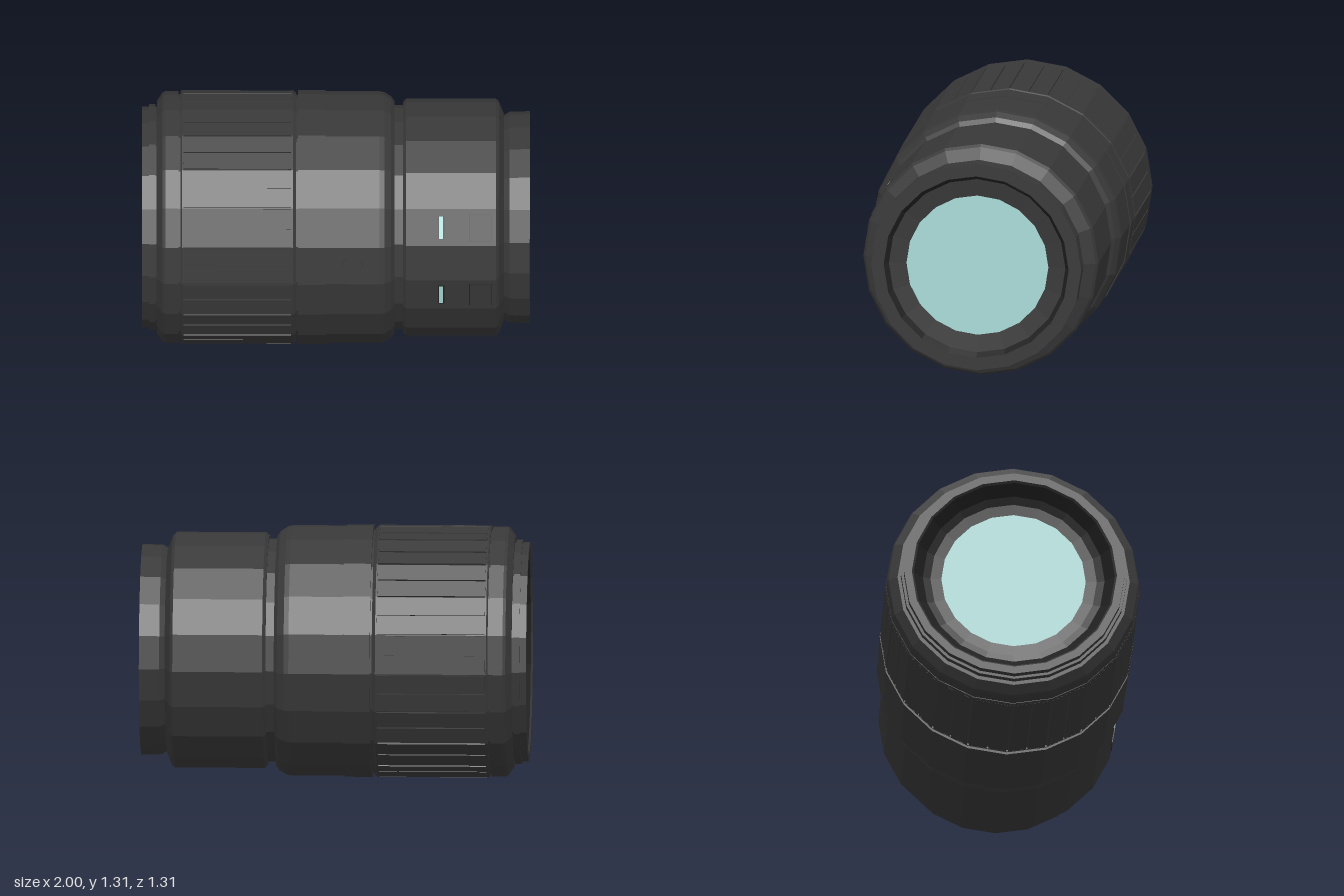
import * as THREE from 'three';

const SIDES = 20;
const STEP = (Math.PI * 2) / SIDES;
const AXIS_Y = 0.66;

const materials = {
  body: new THREE.MeshStandardMaterial({ color: 0x383838 }),
  trim: new THREE.MeshStandardMaterial({ color: 0x222222 }),
  glass: new THREE.MeshStandardMaterial({ color: 0xa9dcd8 }),
};
for (const [name, m] of Object.entries(materials)) m.name = name;

// Faceted ring turned around the x axis; points are [x, radius] from left to right.
function turned(name, points, material) {
  const profile = points.map(([x, r]) => new THREE.Vector2(r, x));
  const geo = new THREE.LatheGeometry(profile, SIDES).rotateZ(-Math.PI / 2).toNonIndexed();
  geo.computeVertexNormals();
  const mesh = new THREE.Mesh(geo, material);
  mesh.name = name;
  return mesh;
}

// Group turned about the lens axis so its +z points out of the facet at this angle.
function facet(name, angle, ...meshes) {
  const g = new THREE.Group();
  g.name = name;
  g.rotation.x = -angle;
  g.add(...meshes);
  return g;
}

function plate(name, w, h, d, x, y, z, material) {
  const mesh = new THREE.Mesh(new THREE.BoxGeometry(w, h, d), material);
  mesh.name = name;
  mesh.position.set(x, y, z);
  return mesh;
}

export function createModel() {
  const { body, trim, glass } = materials;
  const model = new THREE.Group();
  model.name = 'cameraLens';
  const lens = new THREE.Group();
  lens.name = 'barrel';
  lens.position.y = AXIS_Y;
  model.add(lens);

  // Barrel sections, left end to right end
  lens.add(
    turned('leftRecess', [[-0.91, 0.37], [-0.915, 0.43], [-0.93, 0.47], [-0.99, 0.52]], trim),
    turned('leftRim', [[-0.99, 0.52], [-1, 0.53], [-1, 0.57], [-0.965, 0.57], [-0.965, 0.584],
      [-0.932, 0.584], [-0.932, 0.57], [-0.925, 0.57]], body),
    turned('leftCollar', [[-0.925, 0.57], [-0.925, 0.6], [-0.895, 0.645], [-0.88, 0.651], [-0.812, 0.651],
      [-0.812, 0.635], [-0.803, 0.635]], body),
    turned('grip', [[-0.803, 0.635], [-0.803, 0.65], [-0.795, 0.656], [-0.788, 0.656], [-0.788, 0.646],
      [-0.23, 0.646], [-0.23, 0.656], [-0.222, 0.656], [-0.205, 0.642], [-0.205, 0.63], [-0.195, 0.63]], body),
    turned('middleBarrel', [[-0.195, 0.63], [-0.195, 0.656], [-0.055, 0.656], [-0.055, 0.651], [0.225, 0.651],
      [0.25, 0.646], [0.285, 0.624], [0.302, 0.6], [0.302, 0.58]], body),
    turned('neck', [[0.302, 0.58], [0.345, 0.58]], body),
    turned('frontBarrel', [[0.345, 0.58], [0.345, 0.597], [0.362, 0.613], [0.825, 0.613], [0.84, 0.6],
      [0.868, 0.53]], body),
    turned('rightRim', [[0.868, 0.53], [0.895, 0.545], [1, 0.548], [1, 0.482]], body),
    turned('rightRecess', [[1, 0.482], [0.965, 0.46]], trim),
    turned('glassRetainer', [[0.965, 0.46], [0.955, 0.37], [0.95, 0.37]], body),
  );

  // Glass discs at both ends
  for (const [name, x, dir] of [['rightGlass', 0.952, 1], ['leftGlass', -0.912, -1]]) {
    const disc = new THREE.Mesh(new THREE.CircleGeometry(0.373, SIDES), glass);
    disc.name = name;
    disc.position.x = x;
    disc.rotation.y = (dir * Math.PI) / 2;
    lens.add(disc);
  }

  // Two raised grip ribs on every facet
  const gripApothem = 0.656 * Math.cos(STEP / 2);
  for (let i = 0; i < SIDES; i++) {
    lens.add(facet('gripRibs', (i + 0.5) * STEP,
      ...[-1, 1].map((s) => plate('gripRib', 0.556, 0.092, 0.016, -0.509, s * 0.0505, gripApothem - 0.008, body))));
  }

  // Round release button
  const button = new THREE.Mesh(new THREE.CylinderGeometry(0.054, 0.056, 0.02, 16).rotateX(Math.PI / 2), body);
  button.name = 'button';
  button.position.set(0.085, 0, 0.651 * Math.cos(STEP / 2));
  lens.add(facet('buttonMount', STEP / 2, button));

  // Two switches with a pale marker beside each
  const frontApothem = 0.613 * Math.cos(STEP / 2);
  for (const angle of [STEP * 1.5, -STEP * 0.5]) {
    lens.add(facet('switchPanel', angle,
      plate('markerFrame', 0.034, 0.122, 0.004, 0.544, 0, frontApothem, trim),
      plate('marker', 0.022, 0.114, 0.008, 0.542, 0, frontApothem, glass),
      plate('switchFrame', 0.116, 0.144, 0.004, 0.745, 0, frontApothem, trim),
      plate('switch', 0.108, 0.136, 0.009, 0.745, 0, frontApothem, body)));
  }
  return model;
}
